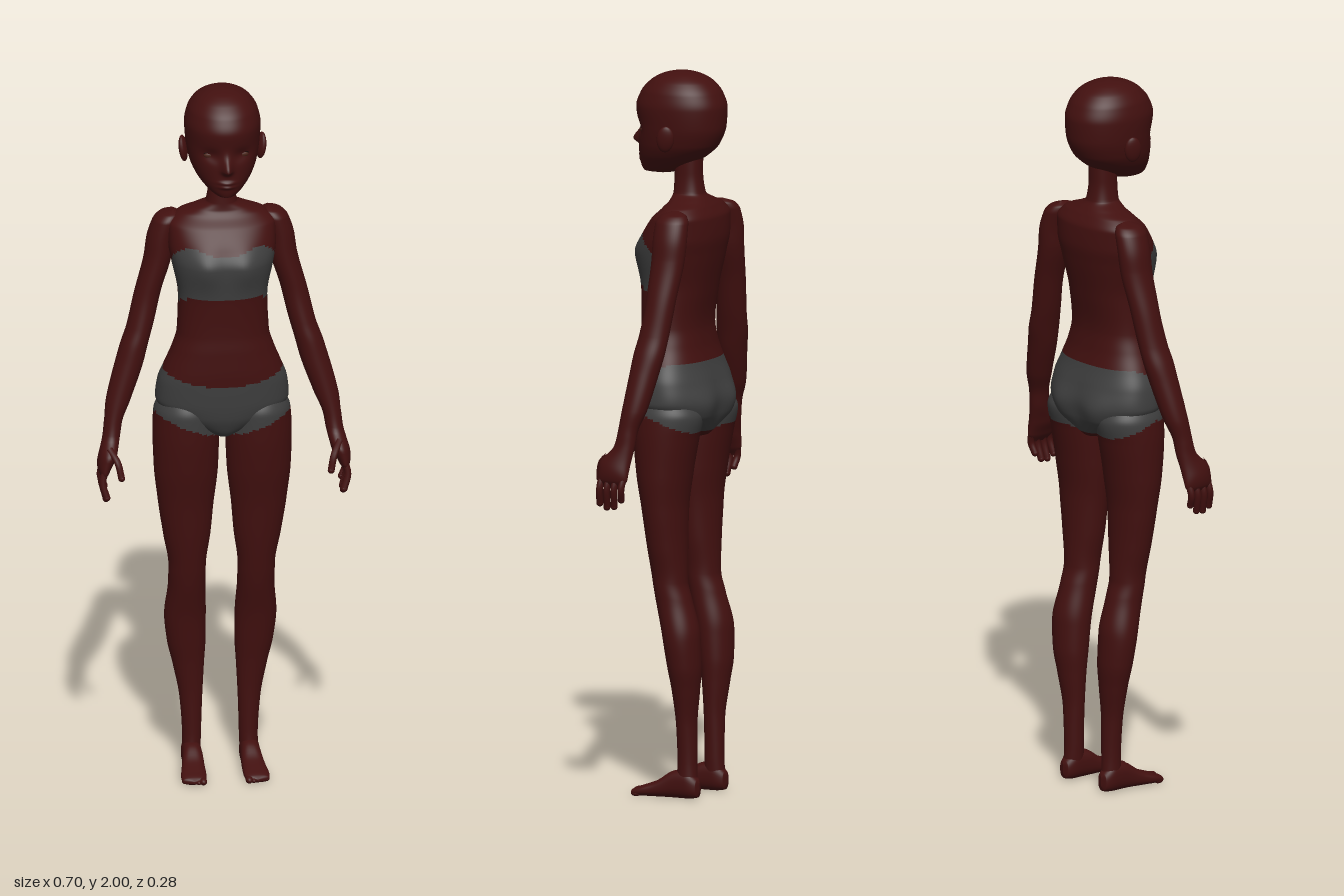
import * as THREE from 'three';

const mat = (name, color, side = THREE.FrontSide) => {
  const m = new THREE.MeshStandardMaterial({ color, side });
  m.name = name;
  return m;
};
const skin = mat('skin', 0x42100f);
const cloth = mat('cloth', 0x3e3e3e);
const eyeColour = mat('eye', 0x4a2418);
const lashColour = mat('lash', 0x1c0807);

const clamp = (v) => Math.min(1, Math.max(0, v));
const bell = (v, width) => Math.exp(-((v / width) ** 2));

// Smooth curve through column k of the rows, without overshoot
function column(rows, k) {
  const n = rows.length;
  const d = [];
  for (let i = 0; i < n - 1; i++) d.push((rows[i + 1][k] - rows[i][k]) / (rows[i + 1][0] - rows[i][0]));
  const m = rows.map((_, i) => {
    if (i === 0) return d[0];
    if (i === n - 1) return d[n - 2];
    return d[i - 1] * d[i] > 0 ? (2 * d[i - 1] * d[i]) / (d[i - 1] + d[i]) : 0;
  });
  return (i, s) => {
    const h = rows[i + 1][0] - rows[i][0], s2 = s * s, s3 = s2 * s;
    return (2 * s3 - 3 * s2 + 1) * rows[i][k] + (s3 - 2 * s2 + s) * h * m[i]
      + (3 * s2 - 2 * s3) * rows[i + 1][k] + (s3 - s2) * h * m[i + 1];
  };
}

// Skin over rounded sections; rows rise: [y, centre x, half width, front z, back z]
function loft(rows, { sides = 40, steps = 6, p = 1, warp, paint } = {}) {
  const cols = [1, 2, 3, 4].map((k) => column(rows, k));
  const pos = [];
  const round = (v) => Math.sign(v) * Math.abs(v) ** p;
  const count = (rows.length - 1) * steps;
  for (let r = 0; r <= count; r++) {
    const i = Math.min(Math.floor(r / steps), rows.length - 2), s = r / steps - i;
    const y = rows[i][0] + s * (rows[i + 1][0] - rows[i][0]);
    const [cx, w, front, back] = cols.map((c) => c(i, s));
    for (let j = 0; j < sides; j++) {
      const a = (j / sides) * Math.PI * 2;
      const x = cx + w * round(Math.cos(a));
      let z = (front + back) / 2 + ((front - back) / 2) * round(Math.sin(a));
      if (warp) z += warp(x, y, Math.sin(a));
      pos.push(x, y, z);
    }
  }
  const parts = [[], []];
  for (let r = 0; r < count; r++) {
    for (let j = 0; j < sides; j++) {
      const k = (j + 1) % sides;
      const a = r * sides + j, b = a + sides, c = (r + 1) * sides + k, d = r * sides + k;
      const mid = [0, 1, 2].map((q) => (pos[a * 3 + q] + pos[c * 3 + q]) / 2);
      parts[paint && paint(...mid) ? 1 : 0].push(a, b, c, a, c, d);
    }
  }
  const g = new THREE.BufferGeometry();
  g.setAttribute('position', new THREE.Float32BufferAttribute(pos, 3));
  g.setIndex([...parts[0], ...parts[1]]);
  g.addGroup(0, parts[0].length, 0);
  g.addGroup(parts[0].length, parts[1].length, 1);
  g.computeVertexNormals();
  return g;
}

const ball = (x, y, z, sx, sy, sz) => new THREE.SphereGeometry(1, 20, 14).scale(sx, sy, sz).translate(x, y, z);

// Strapless top, front half only, and briefs
function clothing(x, y, z) {
  const ax = Math.abs(x);
  const bandTop = 1.535 + 0.03 * clamp((ax / 0.09) ** 2) - 0.06 * clamp(1 - z / 0.07);
  const band = z > -0.005 && y < bandTop && y > 1.385 + 0.03 * clamp(z / 0.08);
  const waist = 1.155 + 1.2 * x * x + 0.05 * clamp(-z / 0.1);
  const legLine = 0.99 + 0.4 * ax * clamp((z + 0.13) / 0.13) + 0.02 * clamp(-z / 0.1);
  return band || (y < waist && y > legLine);
}

const torsoRows = [
  [0.985, 0, 0, 0, -0.03], [1.0, 0, 0.03, 0.05, -0.09], [1.03, 0, 0.1, 0.07, -0.11],
  [1.06, 0, 0.155, 0.08, -0.12], [1.1, 0, 0.183, 0.085, -0.125], [1.15, 0, 0.178, 0.088, -0.115],
  [1.2, 0, 0.16, 0.09, -0.1], [1.25, 0, 0.14, 0.09, -0.088], [1.3, 0, 0.126, 0.088, -0.083],
  [1.4, 0, 0.122, 0.092, -0.098], [1.5, 0, 0.14, 0.1, -0.118], [1.55, 0, 0.148, 0.082, -0.125],
  [1.6, 0, 0.148, 0.05, -0.122], [1.63, 0, 0.12, 0.02, -0.105], [1.645, 0, 0.08, 0.012, -0.092],
  [1.665, 0, 0.042, 0.01, -0.075], [1.72, 0, 0.036, 0.008, -0.068], [1.8, 0, 0.036, 0.02, -0.07],
];
const headRows = [
  [1.712, 0, 0, 0.085, 0.05], [1.718, 0, 0.028, 0.106, 0.015], [1.74, 0, 0.056, 0.112, -0.035],
  [1.77, 0, 0.079, 0.114, -0.085], [1.8, 0, 0.092, 0.114, -0.115], [1.85, 0, 0.101, 0.114, -0.134],
  [1.9, 0, 0.104, 0.12, -0.137], [1.94, 0, 0.096, 0.106, -0.124], [1.97, 0, 0.077, 0.08, -0.1],
  [1.988, 0, 0.052, 0.05, -0.07], [1.997, 0, 0.026, 0.018, -0.04], [2.0, 0, 0, -0.01, -0.012],
];
const legRows = [
  [0.03, 0.08, 0.025, -0.035, -0.098], [0.1, 0.078, 0.026, -0.04, -0.095], [0.2, 0.08, 0.031, -0.038, -0.095],
  [0.3, 0.087, 0.043, -0.03, -0.105], [0.37, 0.093, 0.053, -0.02, -0.112], [0.45, 0.097, 0.057, -0.008, -0.11],
  [0.55, 0.095, 0.051, 0.015, -0.085], [0.6, 0.095, 0.051, 0.024, -0.072], [0.7, 0.097, 0.065, 0.038, -0.07],
  [0.8, 0.1, 0.077, 0.05, -0.072], [0.9, 0.1, 0.088, 0.066, -0.085], [1.0, 0.1, 0.091, 0.076, -0.105],
  [1.06, 0.1, 0.088, 0.078, -0.118], [1.12, 0.1, 0.06, 0.05, -0.08],
];
const armRows = [
  [0.885, 0.331, 0, 0.05, 0.01], [0.91, 0.33, 0.016, 0.075, -0.015], [0.95, 0.32, 0.025, 0.075, -0.018],
  [1.0, 0.307, 0.024, 0.035, -0.025], [1.04, 0.301, 0.025, 0.026, -0.03], [1.1, 0.285, 0.034, 0.02, -0.05],
  [1.2, 0.254, 0.039, 0.012, -0.07], [1.25, 0.24, 0.038, 0.008, -0.08], [1.3, 0.224, 0.036, 0, -0.085],
  [1.4, 0.2, 0.036, -0.01, -0.095], [1.5, 0.172, 0.038, -0.01, -0.105], [1.55, 0.165, 0.038, -0.01, -0.108],
  [1.6, 0.15, 0.037, -0.01, -0.105], [1.62, 0.14, 0.03, -0.02, -0.095], [1.632, 0.13, 0, -0.05, -0.07],
];
// Foot sections run heel to toe: [z, centre x, half width, -bottom y, -top y]
const footRows = [
  [-0.106, 0.08, 0, -0.02, -0.045], [-0.1, 0.08, 0.018, -0.004, -0.055], [-0.07, 0.08, 0.027, 0, -0.08],
  [-0.03, 0.08, 0.028, 0, -0.075], [0.02, 0.083, 0.032, 0, -0.045], [0.06, 0.086, 0.035, 0, -0.03],
  [0.085, 0.087, 0.032, 0, -0.021], [0.097, 0.087, 0, -0.006, -0.012],
];

const bodyWarp = (x, y, f) => {
  const ax = Math.abs(x);
  return f > 0 ? 0.012 * f * bell(ax - 0.06, 0.04) * bell(y - 1.5, 0.05)
    : 0.016 * f * bell(ax - 0.075, 0.05) * bell(y - 1.08, 0.06);
};
// Eye sockets, nose and lips
const faceWarp = (x, y, f) => {
  if (f <= 0) return 0;
  const ax = Math.abs(x);
  return -0.011 * bell(ax - 0.042, 0.025) * bell(y - 1.838, 0.018)
    + 0.028 * bell(x, 0.013) * bell(y - 1.8, y < 1.8 ? 0.011 : 0.028)
    + 0.007 * bell(x, 0.022) * (bell(y - 1.762, 0.005) + bell(y - 1.75, 0.005));
};

export function createModel() {
  const model = new THREE.Group();
  model.name = 'figure';
  const add = (name, geometry, material, parent = model) => {
    const mesh = new THREE.Mesh(geometry, material);
    mesh.name = name;
    parent.add(mesh);
    return mesh;
  };
  const dressed = [skin, cloth];

  add('torso', loft(torsoRows, { sides: 96, steps: 8, p: 0.86, warp: bodyWarp, paint: clothing }), dressed);
  add('head', loft(headRows, { sides: 128, steps: 10, p: 0.95, warp: faceWarp }), skin);

  for (const s of [1, -1]) {
    const side = s > 0 ? 'left' : 'right';
    const flip = (rows) => rows.map(([t, x, ...rest]) => [t, x * s, ...rest]);

    add(side + 'Leg', loft(flip(legRows), { sides: 64, steps: 10, paint: clothing }), dressed);
    add(side + 'Foot', loft(flip(footRows), { p: 0.8 }).rotateX(Math.PI / 2), skin);
    for (let i = 0; i < 5; i++) {
      const r = i === 0 ? 0.01 : 0.0075;
      add(side + 'Toe', ball(s * (0.063 + i * 0.0125), r, 0.09 - 0.004 * i, r, r, 0.015), skin);
    }

    // Arm runs from shoulder to palm
    add(side + 'Arm', loft(flip(armRows)), skin);
    const digit = (name, points, r) => {
      const path = new THREE.CatmullRomCurve3(points.map(([x, y, z]) => new THREE.Vector3(x * s, y, z)));
      add(name, new THREE.TubeGeometry(path, 12, r, 10), skin);
      const tip = path.getPoint(1);
      add(name + 'Tip', ball(tip.x, tip.y, tip.z, r, r, r), skin);
    };
    [0.855, 0.835, 0.832, 0.842].forEach((tipY, i) => {
      const z = -0.004 + i * 0.022;
      digit(side + 'Finger', [[0.326, 0.925, z], [0.337, 0.885, z + 0.004], [0.326, tipY, z + 0.009]], 0.0095);
    });
    digit(side + 'Thumb', [[0.316, 0.975, 0.05], [0.297, 0.945, 0.083], [0.288, 0.905, 0.092]], 0.0095);

    // Ear, eye and lash line
    const ear = add(side + 'Ear', ball(0, 0, 0, 0.011, 0.037, 0.024), skin);
    ear.position.set(s * 0.107, 1.823, -0.014);
    ear.rotation.set(-0.1, s * 0.35, -s * 0.12);
    add(side + 'Eye', ball(s * 0.043, 1.837, 0.085, 0.019, 0.009, 0.008), eyeColour);
    const lash = add(side + 'Lash', new THREE.TorusGeometry(0.021, 0.002, 6, 16, 2.2), lashColour);
    lash.geometry.rotateZ(Math.PI / 2 - 1.1).scale(1, 0.55, 1);
    lash.position.set(s * 0.043, 1.836, 0.092);
    lash.rotation.y = s * 0.3;
  }
  return model;
}
